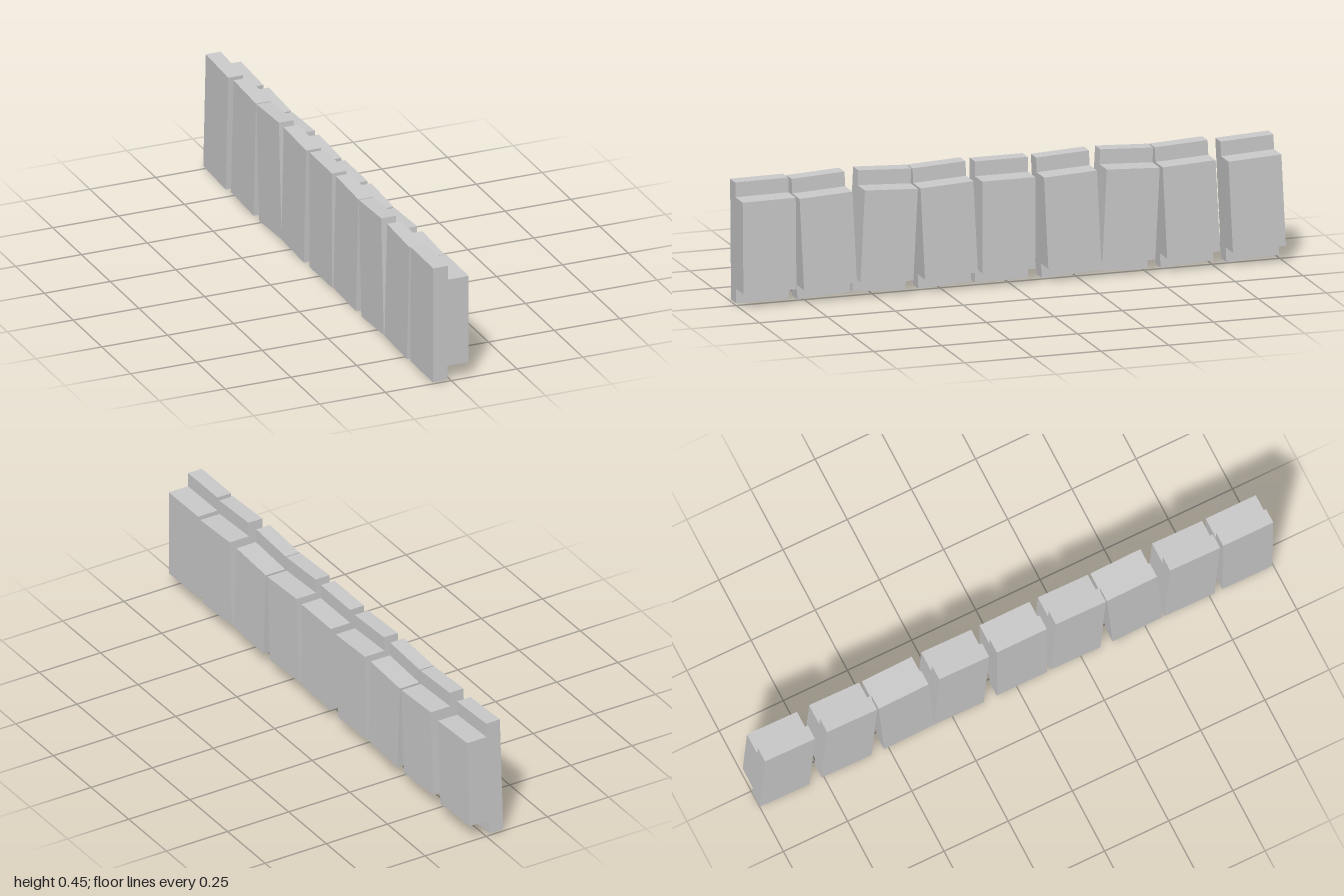
import * as THREE from 'three';

// [z centre, tilt about x] of each block, front to back
const BLOCKS = [
  [0.9, 0.008], [0.684, 0.05], [0.46, -0.05], [0.239, 0.05], [0.02, 0],
  [-0.215, 0.048], [-0.43, -0.05], [-0.652, 0.05], [-0.894, 0.05],
];
const WIDTH = 0.195, CENTRE_Y = 0.2235;
const TALL = 0.218, SHORT = 0.165; // half heights of back slab and raised face

export function createModel() {
  const group = new THREE.Group();
  group.name = 'blockRow';
  const material = new THREE.MeshStandardMaterial({ color: 0xcccccc, flatShading: true });

  // Stepped cross-section: tall slab on -x, shorter raised face on +x
  const profile = new THREE.Shape([
    [-0.068, -TALL], [-0.012, -TALL], [-0.012, -SHORT], [0.067, -SHORT],
    [0.067, SHORT], [-0.012, SHORT], [-0.012, TALL], [-0.068, TALL],
  ].map(([x, y]) => new THREE.Vector2(x, y)));
  const geometry = new THREE.ExtrudeGeometry(profile, { depth: WIDTH, bevelEnabled: false });
  geometry.translate(0, 0, -WIDTH / 2);

  // Unevenly tilted blocks in a row
  BLOCKS.forEach(([z, tilt], i) => {
    const block = new THREE.Mesh(geometry, material);
    block.name = `block${i + 1}`;
    block.position.set(0, CENTRE_Y, z);
    block.rotation.x = tilt;
    group.add(block);
  });
  return group;
}
